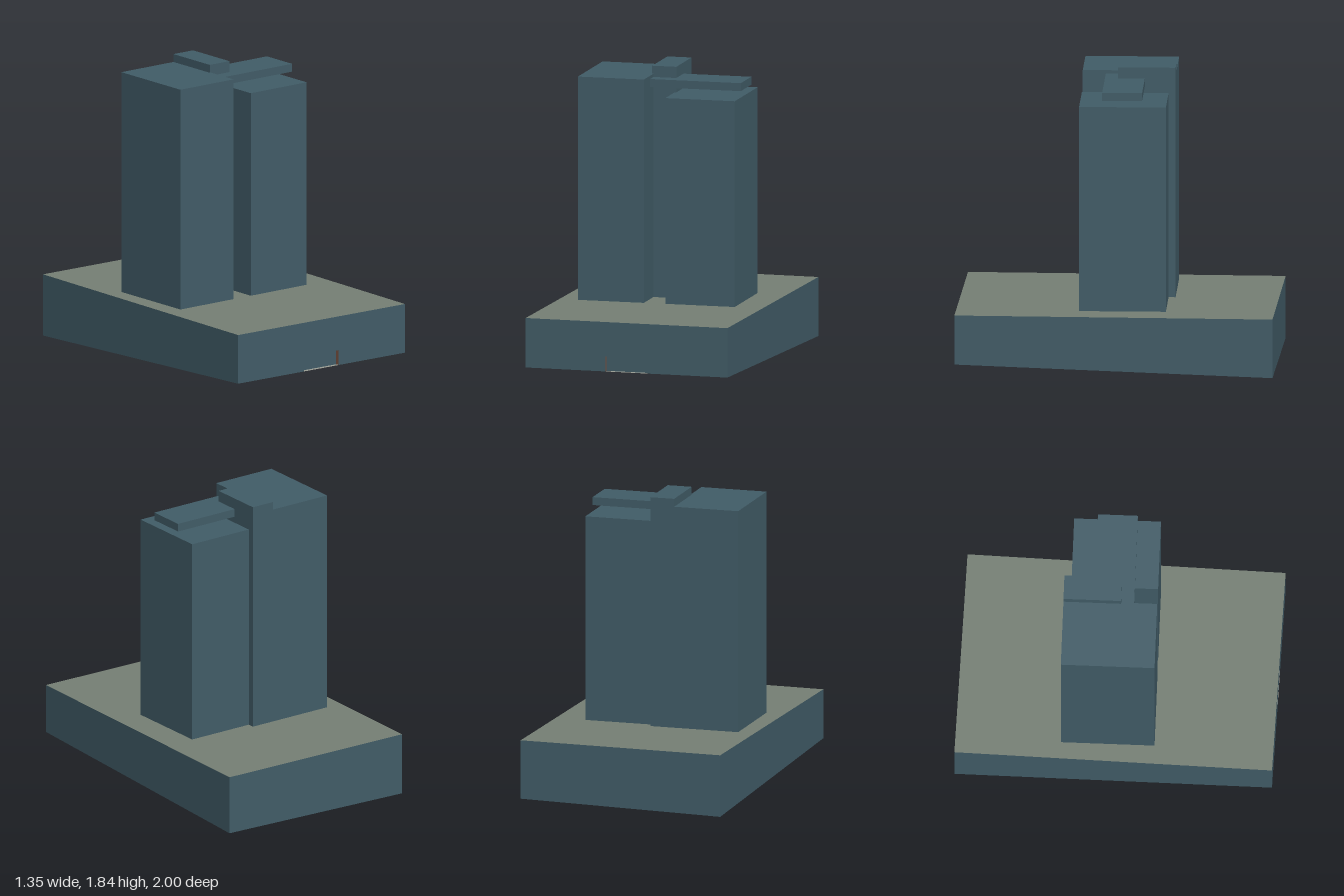
import * as THREE from 'three';

const wallBlue = new THREE.MeshStandardMaterial({ color: 0x415c67 });
const roofGrey = new THREE.MeshStandardMaterial({ color: 0x757f74 });
const jambBrown = new THREE.MeshStandardMaterial({ color: 0x7d5442 });
const sillGrey = new THREE.MeshStandardMaterial({ color: 0x9a9d94 });

// Flat mesh from four-cornered faces, corners counter-clockwise from outside
function quads(name, material, faces) {
  const points = faces.flatMap(([a, b, c, d]) => [a, b, c, a, c, d]).flat();
  const geometry = new THREE.BufferGeometry();
  geometry.setAttribute('position', new THREE.Float32BufferAttribute(points, 3));
  geometry.computeVertexNormals();
  const mesh = new THREE.Mesh(geometry, material);
  mesh.name = name;
  return mesh;
}

// Box given by its limits on each axis
function block(name, [x0, x1], [y0, y1], [z0, z1]) {
  const mesh = new THREE.Mesh(new THREE.BoxGeometry(x1 - x0, y1 - y0, z1 - z0), wallBlue);
  mesh.position.set((x0 + x1) / 2, (y0 + y1) / 2, (z0 + z1) / 2);
  mesh.name = name;
  return mesh;
}

// Skewed podium on sloping ground, with a shallow entrance in its front
function podium() {
  const group = new THREE.Group();
  group.name = 'podium';
  const top = 0.39, sill = 0.08, head = 0.175, depth = 0.025;
  const xl = -0.675, xr = 0.627, dl = -0.16, dr = 0.11;

  // Point on the front wall, or set back behind it
  const front = (x, y, back = 0) => [x, y, 0.967 + 0.033 * (x - xl) / (xr - xl) - back];

  const backLeft = (y) => [-0.632, y, -1];
  const backRight = (y) => [0.672, y, -0.97];
  const fl = front(xl, sill), fr = front(xr, sill);
  const flTop = front(xl, top), frTop = front(xr, top);
  const bl = backLeft(0), br = backRight(0.02);

  group.add(quads('podiumWalls', wallBlue, [
    [fl, front(dl, sill), front(dl, top), flTop],
    [front(dr, sill), fr, frTop, front(dr, top)],
    [front(dl, head), front(dr, head), front(dr, top), front(dl, top)],
    [fr, br, backRight(top), frTop],
    [br, bl, backLeft(top), backRight(top)],
    [bl, fl, flTop, backLeft(top)],
    [bl, br, fr, fl],
  ]));
  group.add(quads('podiumRoof', roofGrey, [[flTop, frTop, backRight(top), backLeft(top)]]));

  // Entrance recess
  group.add(quads('entranceDoor', wallBlue, [
    [front(dl, sill, depth), front(dr, sill, depth), front(dr, head, depth), front(dl, head, depth)],
  ]));
  group.add(quads('entranceJambs', jambBrown, [
    [front(dl, sill), front(dl, sill, depth), front(dl, head, depth), front(dl, head)],
    [front(dr, sill, depth), front(dr, sill), front(dr, head), front(dr, head, depth)],
    [front(dl, head, depth), front(dr, head, depth), front(dr, head), front(dl, head)],
  ]));
  group.add(quads('entranceSill', sillGrey, [
    [front(dl, sill), front(dr, sill), front(dr, sill, depth), front(dl, sill, depth)],
  ]));
  return group;
}

export function createModel() {
  const model = new THREE.Group();
  model.name = 'towerBlock';
  model.add(podium());

  // Two towers joined by a lift core, with a floating roof slab
  model.add(block('rightTower', [-0.54, -0.117], [0.39, 1.79], [-0.345, 0.235]));
  model.add(block('leftTower', [0.02, 0.465], [0.39, 1.68], [-0.302, 0.235]));
  model.add(block('liftCore', [-0.125, 0.03], [0.39, 1.84], [-0.345, 0.012]));
  model.add(block('roofSlab', [-0.117, 0.465], [1.72, 1.77], [-0.155, 0.092]));
  return model;
}
